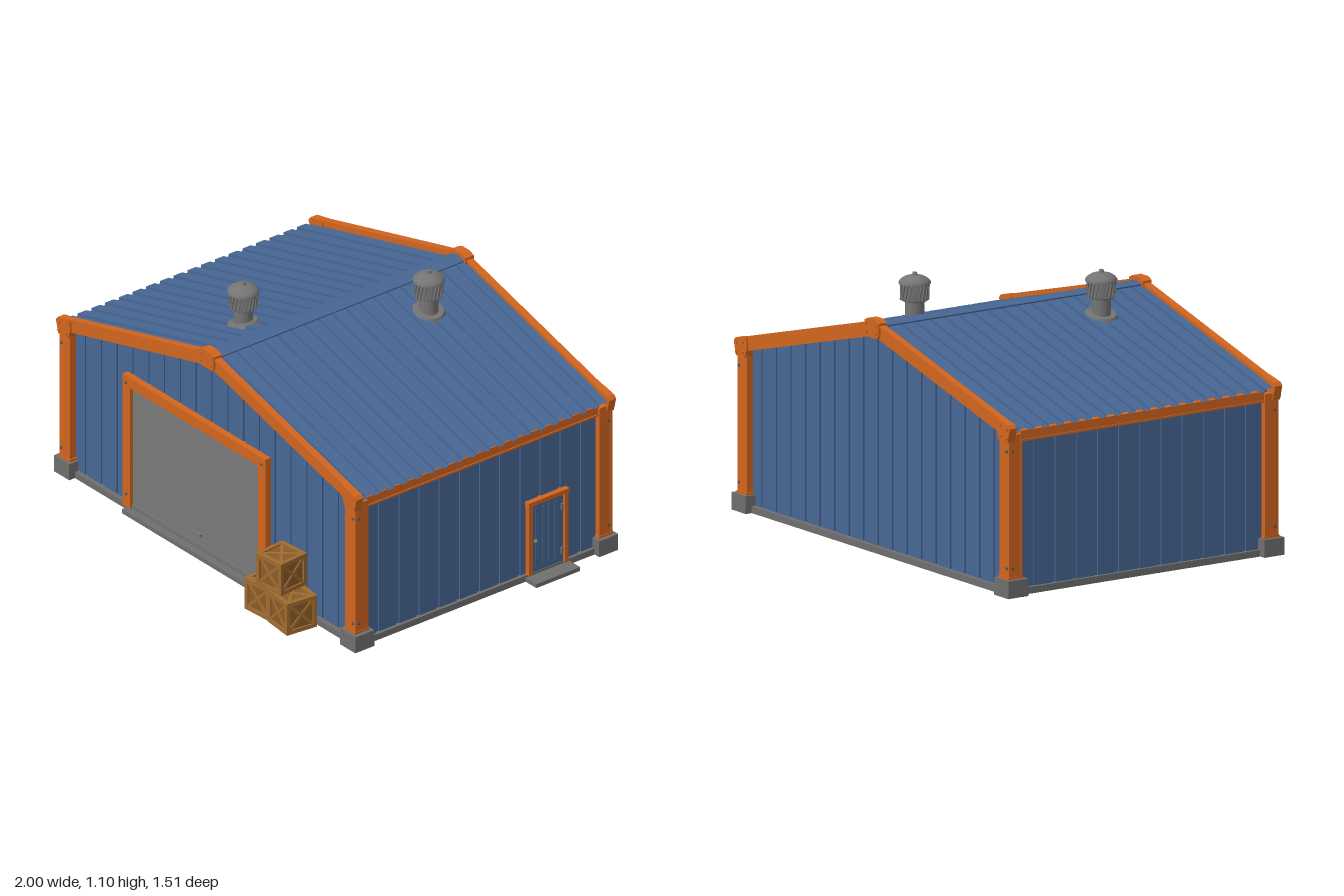
import * as THREE from 'three';

const mat = (name, color, side = THREE.FrontSide) => {
  const m = new THREE.MeshStandardMaterial({ color, side });
  m.name = name;
  return m;
};

export function createModel() {
  const blue = mat('blue sheet metal', 0x476794, THREE.DoubleSide);
  const orange = mat('orange steel', 0xd2651f);
  const concrete = mat('concrete', 0x6f6f6f);
  const steel = mat('steel grey', 0x757575);
  const boltGrey = mat('bolt grey', 0x5a5a5a);
  const wood = mat('crate wood', 0xa06c2f);
  const darkWood = mat('crate panel', 0x8a5b27);

  const model = new THREE.Group();
  model.name = 'warehouse';
  // The shed is symmetric about its own centre
  const shed = new THREE.Group();
  shed.name = 'shed';
  shed.position.set(-0.02, 0, -0.065);
  model.add(shed);

  const add = (parent, name, geo, material, x = 0, y = 0, z = 0) => {
    const m = new THREE.Mesh(geo, material);
    m.name = name;
    m.position.set(x, y, z);
    parent.add(m);
    return m;
  };
  const box = (parent, name, material, w, h, d, x, y, z) =>
    add(parent, name, new THREE.BoxGeometry(w, h, d), material, x, y, z);
  const bolt = (parent, material, x, y, z, alongX = false) => {
    const b = add(parent, 'bolt', new THREE.CylinderGeometry(0.007, 0.007, 0.008, 6), material, x, y, z);
    if (alongX) b.rotation.z = Math.PI / 2; else b.rotation.x = Math.PI / 2;
  };

  // Ribbed sheet: place(u, depth, end) maps a profile point to space
  const sheet = (name, from, to, ribs, steps, place) => {
    const step = (to - from) / ribs, pts = [];
    for (let i = 0; i < ribs; i++)
      for (const [t, d] of steps) pts.push([from + (i + t) * step, d]);
    pts.push([to, steps[0][1]]);
    const pos = [];
    for (let i = 0; i + 1 < pts.length; i++) {
      const [a, b] = [pts[i], pts[i + 1]];
      const q = [place(...a, 0), place(...b, 0), place(...b, 1), place(...a, 1)];
      for (const k of [0, 1, 2, 0, 2, 3]) pos.push(...q[k]);
    }
    const g = new THREE.BufferGeometry();
    g.setAttribute('position', new THREE.Float32BufferAttribute(pos, 3));
    g.computeVertexNormals();
    add(shed, name, g, blue);
  };

  const SLOPE = 0.268, RIDGE = 0.955;
  const roofY = x => RIDGE - SLOPE * Math.abs(x);
  const tilt = Math.atan(SLOPE);

  // Floor slab and steps
  box(shed, 'slab', concrete, 1.9, 0.028, 1.32, 0, 0.014, 0);
  box(model, 'frontStep', concrete, 0.87, 0.02, 0.07, -0.115, 0.01, 0.595);
  box(model, 'sideStep', concrete, 0.09, 0.018, 0.23, 0.955, 0.009, -0.408);

  // Square-edged ribs on walls and roof; a rib joint falls on the gable peak
  const wallRibs = [[0, 0], [0.84, 0], [0.84, -0.006], [1, -0.006]];
  const roofRibs = [[0, 0], [0.38, 0], [0.38, 0.011], [1, 0.011]];
  for (const s of [1, -1]) {
    sheet('gableWall', -0.925, 0.925, 18, wallRibs,
      (u, d, v) => [s * u, v ? roofY(u) - 0.01 : 0.026, s * (0.64 + d)]);
    sheet('sideWall', -0.635, 0.635, 12, wallRibs,
      (u, d, v) => [s * (0.936 + d), v ? 0.69 : 0.026, -s * u]);
    sheet('roofSheet', -0.648, 0.648, 18, roofRibs,
      (u, d, v) => [v ? s * 0.966 : 0, roofY(v ? 0.966 : 0) + d - 0.004, -s * u]);
    // Ridge cap wing
    box(shed, 'ridgeCap', blue, 0.044, 0.006, 1.3, s * 0.02, RIDGE + 0.009, 0).rotation.z = -s * tilt;
    // Eave beam
    box(shed, 'eaveBeam', orange, 0.03, 0.044, 1.22, s * 0.938, 0.668, 0);
    box(shed, 'eaveLip', orange, 0.04, 0.008, 1.22, s * 0.938, 0.65, 0);
  }

  // Corner columns with footings, bolts and eave plates
  const shapeOf = pts => new THREE.Shape(pts.map(([x, y]) => new THREE.Vector2(x, y)));
  const eavePlate = shapeOf([[0.885, 0.69], [0.9, 0.65], [0.962, 0.65], [0.978, 0.71], [0.966, 0.724], [0.89, 0.74]]);
  for (const sx of [1, -1]) for (const sz of [1, -1]) {
    box(shed, 'footing', concrete, 0.1, 0.074, 0.1, sx * 0.93, 0.037, sz * 0.64);
    box(shed, 'columnBase', orange, 0.072, 0.01, 0.074, sx * 0.927, 0.079, sz * 0.64);
    box(shed, 'column', orange, 0.062, 0.6, 0.05, sx * 0.929, 0.38, sz * 0.64);
    for (const k of [1, -1])
      box(shed, 'columnFlange', orange, 0.066, 0.6, 0.01, sx * 0.928, 0.38, sz * 0.64 + k * 0.029);
    for (const y of [0.12, 0.61]) {
      bolt(shed, boltGrey, sx * 0.948, y, sz * 0.675);
      bolt(shed, boltGrey, sx * 0.96, y, sz * 0.655, true);
    }
    const g = new THREE.ExtrudeGeometry(eavePlate, { depth: 0.036, bevelEnabled: false });
    const p = add(shed, 'eavePlate', g, orange, 0, 0, sz > 0 ? 0.645 : -0.681);
    if (sx < 0) { p.rotation.y = Math.PI; p.position.z += 0.036; }
    for (const [x, y] of [[0.91, 0.672], [0.955, 0.668], [0.91, 0.717], [0.958, 0.706]])
      bolt(shed, orange, sx * x, y, sz * 0.683);
  }

  // Gable rafters and ridge plates
  const rafter = shapeOf([[-0.965, 0.716], [0, 0.976], [0.965, 0.716], [0.965, 0.66], [0, 0.915], [-0.965, 0.66]]);
  const lip = shapeOf([[-0.965, 0.722], [0, 0.978], [0.965, 0.722], [0.965, 0.712], [0, 0.968], [-0.965, 0.712]]);
  const ridgePlate = shapeOf([[-0.05, 0.975], [-0.025, 0.987], [0.025, 0.987], [0.05, 0.975],
    [0.05, 0.92], [0.036, 0.908], [-0.036, 0.908], [-0.05, 0.92]]);
  for (const s of [1, -1]) {
    const slab = (name, shape, depth) => add(shed, name,
      new THREE.ExtrudeGeometry(shape, { depth, bevelEnabled: false }), orange, 0, 0, s * 0.661 - depth / 2);
    slab('rafter', rafter, 0.022);
    slab('rafterLip', lip, 0.032);
    slab('ridgePlate', ridgePlate, 0.044);
    for (const x of [-0.034, 0.034]) for (const y of [0.93, 0.965]) bolt(shed, orange, x, y, s * 0.685);
  }

  // Roller shutter with tilted slats
  const shutter = new THREE.Group();
  shutter.name = 'rollerShutter';
  shutter.position.set(-0.115, 0, 0.58);
  model.add(shutter);
  box(shutter, 'shutterBack', steel, 0.83, 0.56, 0.006, 0, 0.305, -0.001);
  const slats = 16, pitch = 0.555 / slats;
  for (let i = 0; i < slats; i++)
    box(shutter, 'slat', steel, 0.83, pitch - 0.004, 0.006, 0, 0.03 + (i + 0.5) * pitch, 0.006).rotation.x = -0.1;
  box(shutter, 'bottomRail', steel, 0.83, 0.014, 0.012, 0, 0.033, 0.008);
  box(shutter, 'handle', steel, 0.065, 0.009, 0.01, 0, 0.085, 0.013);
  for (const s of [1, -1]) {
    box(shutter, 'jamb', orange, 0.05, 0.61, 0.03, s * 0.44, 0.325, 0.008);
    for (const y of [0.08, 0.6]) bolt(shutter, boltGrey, s * 0.44, y, 0.024);
  }
  box(shutter, 'header', orange, 0.93, 0.048, 0.032, 0, 0.608, 0.008);

  // Side door in its frame
  const door = new THREE.Group();
  door.name = 'sideDoor';
  door.position.set(0.917, 0, -0.408);
  model.add(door);
  box(door, 'doorPanel', blue, 0.02, 0.32, 0.17, 0, 0.186, 0);
  for (let i = 0; i < 4; i++)
    box(door, 'doorRib', blue, 0.006, 0.27, 0.012, 0.01, 0.188, -0.045 + i * 0.033);
  for (const s of [1, -1]) box(door, 'doorJamb', orange, 0.036, 0.335, 0.02, 0.004, 0.19, s * 0.094);
  box(door, 'doorHeader', orange, 0.04, 0.02, 0.214, 0.004, 0.355, 0);
  add(door, 'doorKnob', new THREE.SphereGeometry(0.01, 12, 8), steel, 0.014, 0.17, 0.062);
  for (const y of [0.08, 0.285]) box(door, 'hinge', steel, 0.008, 0.028, 0.012, 0.012, y, -0.076);

  // Turbine roof vents
  const dome = new THREE.LatheGeometry(
    [[0.066, -0.004], [0.066, 0.004], [0.058, 0.014], [0.04, 0.025], [0.018, 0.031], [0, 0.032]]
      .map(([x, y]) => new THREE.Vector2(x, y)), 24);
  for (const [x, z] of [[-0.2, 0.325], [0.2, -0.325]]) {
    const vent = new THREE.Group();
    vent.name = 'roofVent';
    vent.position.set(x, 0, z);
    shed.add(vent);
    const y = roofY(x);
    add(vent, 'flange', new THREE.CylinderGeometry(0.062, 0.072, 0.016, 20), steel, 0, y + 0.007, 0)
      .rotation.z = -Math.sign(x) * tilt;
    add(vent, 'pipe', new THREE.CylinderGeometry(0.04, 0.04, 0.12, 20), steel, 0, y + 0.045, 0);
    add(vent, 'lowerRing', new THREE.CylinderGeometry(0.055, 0.05, 0.012, 24), steel, 0, 0.983, 0);
    add(vent, 'core', new THREE.CylinderGeometry(0.054, 0.048, 0.07, 24), steel, 0, 1.017, 0);
    for (let i = 0; i < 22; i++) {
      const a = i / 22 * Math.PI * 2;
      const fin = box(vent, 'fin', steel, 0.011, 0.07, 0.007, Math.sin(a) * 0.057, 1.018, Math.cos(a) * 0.057);
      fin.rotation.set(0, a, -0.22, 'YXZ');
    }
    add(vent, 'dome', dome, steel, 0, 1.054, 0);
    add(vent, 'knob', new THREE.CylinderGeometry(0.009, 0.012, 0.014, 12), steel, 0, 1.09, 0);
  }

  // Crates with edge boards and crossed braces on all faces
  const S = 0.147, E = 0.018, H = S / 2 - E / 2;
  const crate = (x, y, z, turn) => {
    const c = new THREE.Group();
    c.name = 'crate';
    c.position.set(x, y + S / 2, z);
    c.rotation.y = turn;
    model.add(c);
    box(c, 'cratePanels', darkWood, S - 0.014, S - 0.014, S - 0.014, 0, 0, 0);
    for (const a of [H, -H]) for (const b of [H, -H]) {
      box(c, 'crateEdge', wood, S, E, E, 0, a, b);
      box(c, 'crateEdge', wood, E, S, E, a, 0, b);
      box(c, 'crateEdge', wood, E, E, S, a, b, 0);
    }
    for (let i = 0; i < 6; i++) {
      const face = new THREE.Group();
      face.name = 'crateFace';
      if (i < 4) face.rotation.y = i * Math.PI / 2;
      else face.rotation.x = (i - 4.5) * Math.PI;
      c.add(face);
      for (const s of [1, -1])
        box(face, 'brace', wood, S * 1.14, 0.014, 0.005, 0, 0, S / 2 - 0.005 + s * 0.0005).rotation.z = s * Math.PI / 4;
    }
  };
  crate(0.458, 0.005, 0.668, 0.07);
  crate(0.613, 0.005, 0.675, -0.11);
  crate(0.532, 0.153, 0.666, 0.08);

  return model;
}
